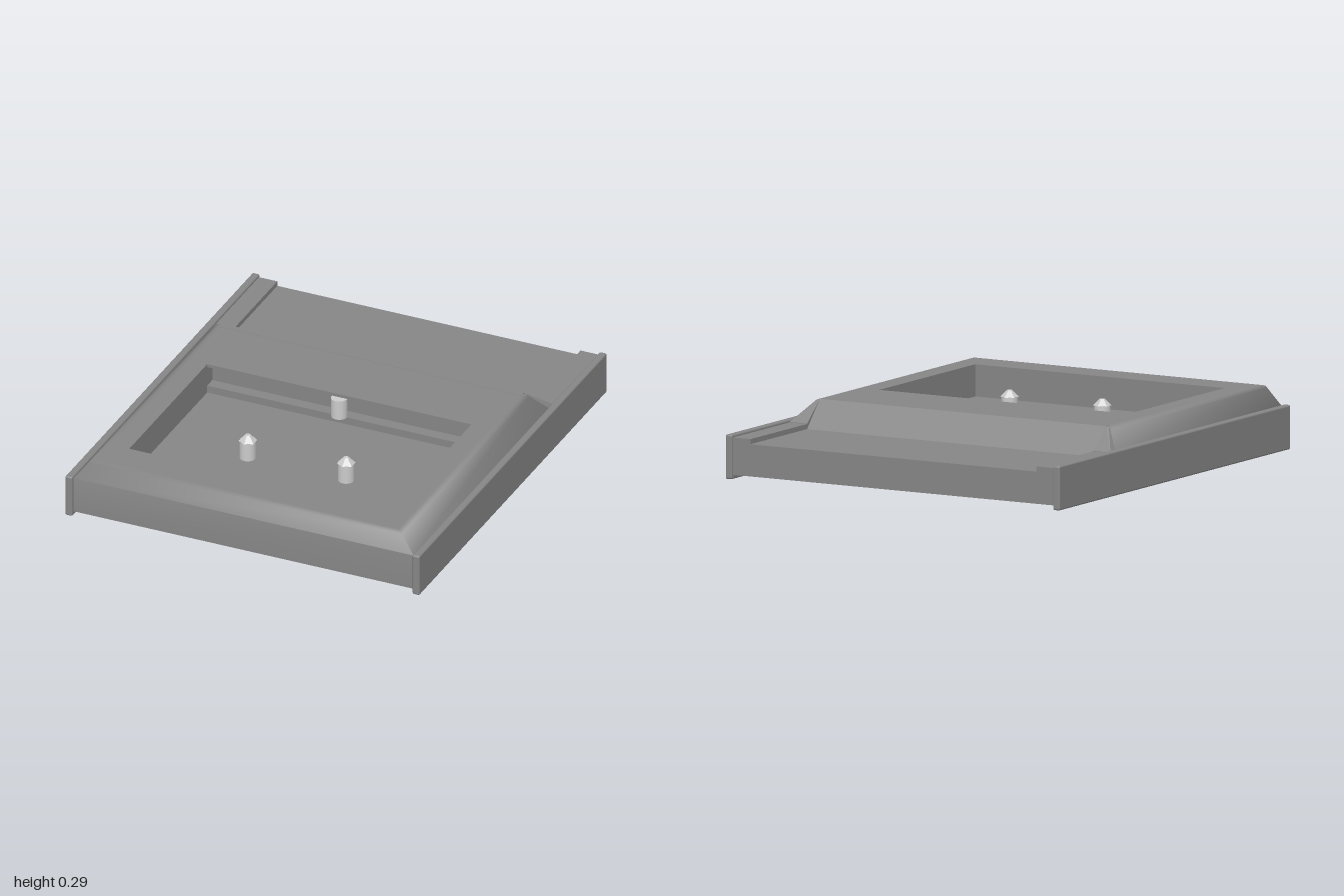
import * as THREE from 'three';
import { toCreasedNormals } from 'three/addons/utils/BufferGeometryUtils.js';
import { RoundedBoxGeometry } from 'three/addons/geometries/RoundedBoxGeometry.js';
import { ConvexGeometry } from 'three/addons/geometries/ConvexGeometry.js';

const dark = new THREE.MeshStandardMaterial({ color: 0x868686 });
const light = new THREE.MeshStandardMaterial({ color: 0xcccccc });
const lightFlat = new THREE.MeshStandardMaterial({ color: 0xcccccc, flatShading: true });

function add(parent, name, geometry, x, y, z, material = dark) {
  const mesh = new THREE.Mesh(geometry, material);
  mesh.name = name;
  mesh.position.set(x, y, z);
  parent.add(mesh);
  return mesh;
}

// Box given by its limits
function block(parent, name, x0, x1, y0, y1, z0, z1) {
  return add(parent, name, new THREE.BoxGeometry(x1 - x0, y1 - y0, z1 - z0),
    (x0 + x1) / 2, (y0 + y1) / 2, (z0 + z1) / 2);
}

// Faceted solid around a few corner points
function hull(points) {
  return new ConvexGeometry(points.map((p) => new THREE.Vector3(...p)));
}

// Skin over rectangular rings [halfWidth, zBack, zFront, y], capped at both ends
function loftRings(rings) {
  const pos = [];
  const corners = rings.map(([w, z0, z1, y]) =>
    [[-w, y, z1], [w, y, z1], [w, y, z0], [-w, y, z0]]);
  const quad = (a, b, c, d) => pos.push(...a, ...b, ...c, ...a, ...c, ...d);
  for (let i = 0; i < corners.length - 1; i++) {
    for (let j = 0; j < 4; j++) {
      const k = (j + 1) % 4;
      quad(corners[i][j], corners[i][k], corners[i + 1][k], corners[i + 1][j]);
    }
  }
  const [a, b, c, d] = corners[0];
  quad(d, c, b, a);
  quad(...corners[corners.length - 1]);
  const geometry = new THREE.BufferGeometry();
  geometry.setAttribute('position', new THREE.Float32BufferAttribute(pos, 3));
  // Bevels blend softly, right angles stay sharp
  return toCreasedNormals(geometry, THREE.MathUtils.degToRad(85));
}

// Drive spindle: round post with a six-sided pointed cap
function spindle(x, z) {
  const group = new THREE.Group();
  group.name = 'spindle';
  group.position.set(x, 0.14, z);
  add(group, 'spindlePost', new THREE.CylinderGeometry(0.037, 0.037, 0.088, 24), 0, 0.044, 0, light);
  add(group, 'spindleCap', new THREE.CylinderGeometry(0.012, 0.042, 0.03, 6), 0, 0.101, 0, lightFlat);
  return group;
}

export function createModel() {
  const model = new THREE.Group();

  // Raised housing with soft bevels, open bay and undercut slot at the bay's back
  add(model, 'housing', loftRings([
    [0.83, -0.46, 0.985, 0.02],
    [0.83, -0.46, 0.985, 0.19],
    [0.764, -0.39, 0.964, 0.273],
    [0.756, -0.385, 0.96, 0.282],
    [0.745, -0.378, 0.953, 0.285],
    [0.73, -0.365, 0.94, 0.285],
    [0.645, -0.035, 0.795, 0.285],
    [0.645, -0.035, 0.795, 0.27],
    [0.645, -0.09, 0.795, 0.27],
    [0.645, -0.09, 0.795, 0.175],
    [0.645, -0.035, 0.795, 0.175],
    [0.645, -0.035, 0.795, 0.14],
  ]), 0, 0, 0);

  // Lower rear deck, and the ramp rising from it to the housing top
  block(model, 'rearDeck', -0.74, 0.74, 0.02, 0.165, -0.99, -0.5);
  add(model, 'rearRamp', hull([-0.74, 0.74].flatMap((x) => [
    [x, 0.02, -0.5], [x, 0.165, -0.5], [x, 0.286, -0.39], [x, 0.286, -0.36], [x, 0.02, -0.36],
  ])), 0, 0, 0);

  for (const s of [-1, 1]) {
    // Raised strips beside the deck, and the outer side panels
    block(model, 'deckEdge', s * 0.785 - 0.045, s * 0.785 + 0.045, 0.02, 0.188, -0.99, -0.5);
    add(model, 'sidePanel', new RoundedBoxGeometry(0.035, 0.2, 2, 2, 0.008), s * 0.8475, 0.1, 0);

    // Sloped corner between the ramp and the side bevel
    add(model, 'rearCorner', hull([
      [s * 0.74, 0.02, -0.5], [s * 0.83, 0.02, -0.5], [s * 0.74, 0.02, -0.38], [s * 0.83, 0.02, -0.38],
      [s * 0.74, 0.19, -0.5], [s * 0.83, 0.19, -0.5], [s * 0.83, 0.19, -0.38],
      [s * 0.74, 0.285, -0.39], [s * 0.756, 0.282, -0.39], [s * 0.756, 0.282, -0.38],
    ]), 0, 0, 0);

    model.add(spindle(s * 0.24, 0.415));
  }

  // Small roller standing in the slot
  add(model, 'roller', new THREE.CylinderGeometry(0.037, 0.037, 0.093, 24), 0, 0.2215, -0.035, light);

  return model;
}
